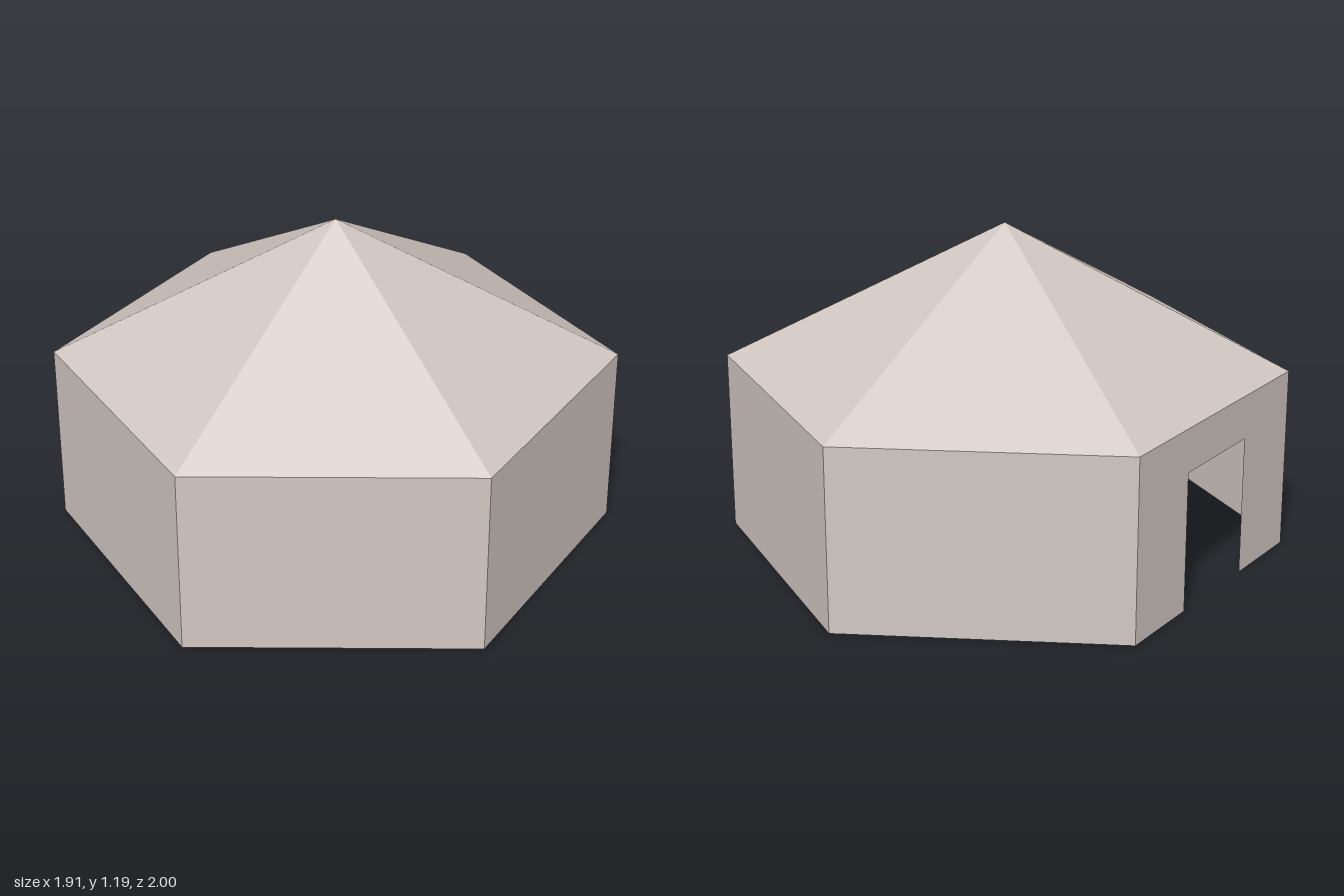
import * as THREE from 'three';

const RADIUS = 1 / Math.cos(THREE.MathUtils.degToRad(10));
const WALL_HEIGHT = 0.665;
const ROOF_HEIGHT = 0.523;
const DOOR_WIDTH = 0.385;
const DOOR_HEIGHT = 0.506;
const SIDE = Math.PI / 3;
const START = THREE.MathUtils.degToRad(-70); // corner beside the doorway

export function createModel() {
  const group = new THREE.Group();
  group.name = 'hexagonalTent';

  const canvas = new THREE.MeshStandardMaterial({ color: 0xd2c8c3, flatShading: true, side: THREE.DoubleSide });
  canvas.name = 'paleCanvas';

  const add = (name, geometry, y) => {
    const flat = geometry.toNonIndexed();
    flat.computeVertexNormals();
    const mesh = new THREE.Mesh(flat, canvas);
    mesh.name = name;
    mesh.position.y = y;
    group.add(mesh);
    return mesh;
  };

  // five plain wall panels, open at the floor
  add('walls', new THREE.CylinderGeometry(RADIUS, RADIUS, WALL_HEIGHT, 5, 1, true, START, 5 * SIDE), WALL_HEIGHT / 2);

  // six-sided pointed roof, open underneath
  add('roof', new THREE.ConeGeometry(RADIUS, ROOF_HEIGHT, 6, 1, true, START), WALL_HEIGHT + ROOF_HEIGHT / 2);

  // sixth wall panel with a doorway cut up from the floor
  const w = RADIUS / 2, d = DOOR_WIDTH / 2;
  const panel = new THREE.Shape([
    [-w, 0], [-d, 0], [-d, DOOR_HEIGHT], [d, DOOR_HEIGHT],
    [d, 0], [w, 0], [w, WALL_HEIGHT], [-w, WALL_HEIGHT],
  ].map(([x, y]) => new THREE.Vector2(x, y)));
  const doorWall = add('doorWall', new THREE.ShapeGeometry(panel), 0);
  const angle = START - SIDE / 2;
  const apothem = RADIUS * Math.cos(SIDE / 2);
  doorWall.rotation.y = angle;
  doorWall.position.set(apothem * Math.sin(angle), 0, apothem * Math.cos(angle));

  return group;
}
